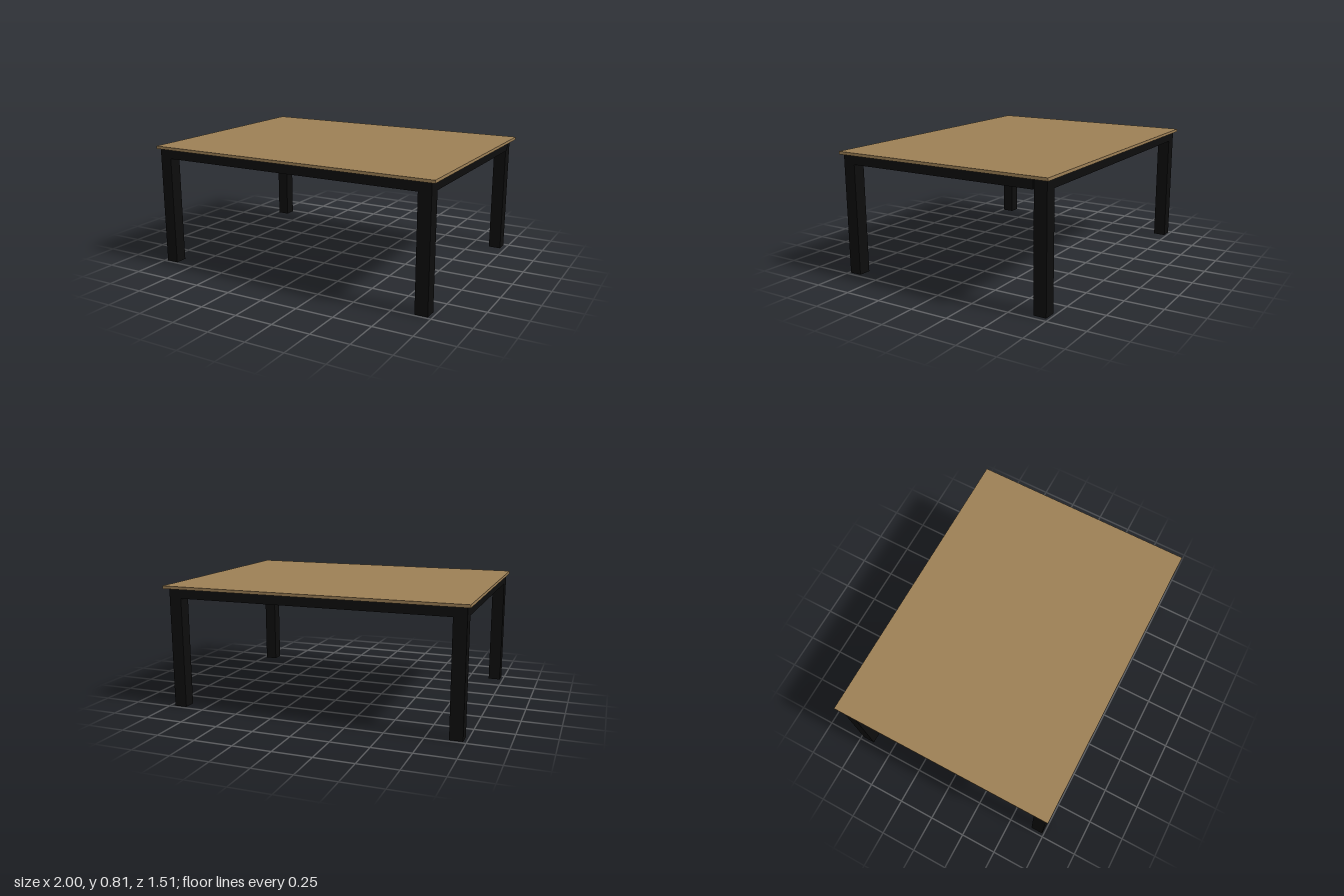
import * as THREE from 'three';

export function createModel() {
  const table = new THREE.Group();
  table.name = 'table';
  const wood = new THREE.MeshStandardMaterial({ color: 0x9c7f55 });
  const black = new THREE.MeshStandardMaterial({ color: 0x0d0d0d });

  // Box given by its minimum and maximum corners
  function addBox(name, material, [x0, y0, z0], [x1, y1, z1]) {
    const mesh = new THREE.Mesh(new THREE.BoxGeometry(x1 - x0, y1 - y0, z1 - z0), material);
    mesh.position.set((x0 + x1) / 2, (y0 + y1) / 2, (z0 + z1) / 2);
    mesh.name = name;
    table.add(mesh);
  }

  const topY = 0.813, underY = 0.794, railY = 0.732;
  const w = 0.083; // width of legs and rails
  const left = 0.975, right = -0.979, front = 0.737, back = -0.731; // frame outline

  // Table top
  addBox('tableTop', wood, [-1, underY, -0.755], [1, topY, 0.755]);

  // Legs; the back left one stands slightly further in
  const legs = [
    ['frontLeftLeg', left - w, front - w],
    ['frontRightLeg', right, front - w],
    ['backLeftLeg', left - w - 0.01, back],
    ['backRightLeg', right, back],
  ];
  for (const [name, x, z] of legs) addBox(name, black, [x, 0, z], [x + w, underY, z + w]);

  // Rails under the top, running between the legs
  for (const [name, z] of [['frontRail', front - w], ['backRail', back]]) {
    addBox(name, black, [right + w, railY, z], [left - w, underY, z + w]);
  }
  for (const [name, x] of [['leftRail', left - w], ['rightRail', right]]) {
    addBox(name, black, [x, railY, back + w], [x + w, underY, front - w]);
  }

  return table;
}
